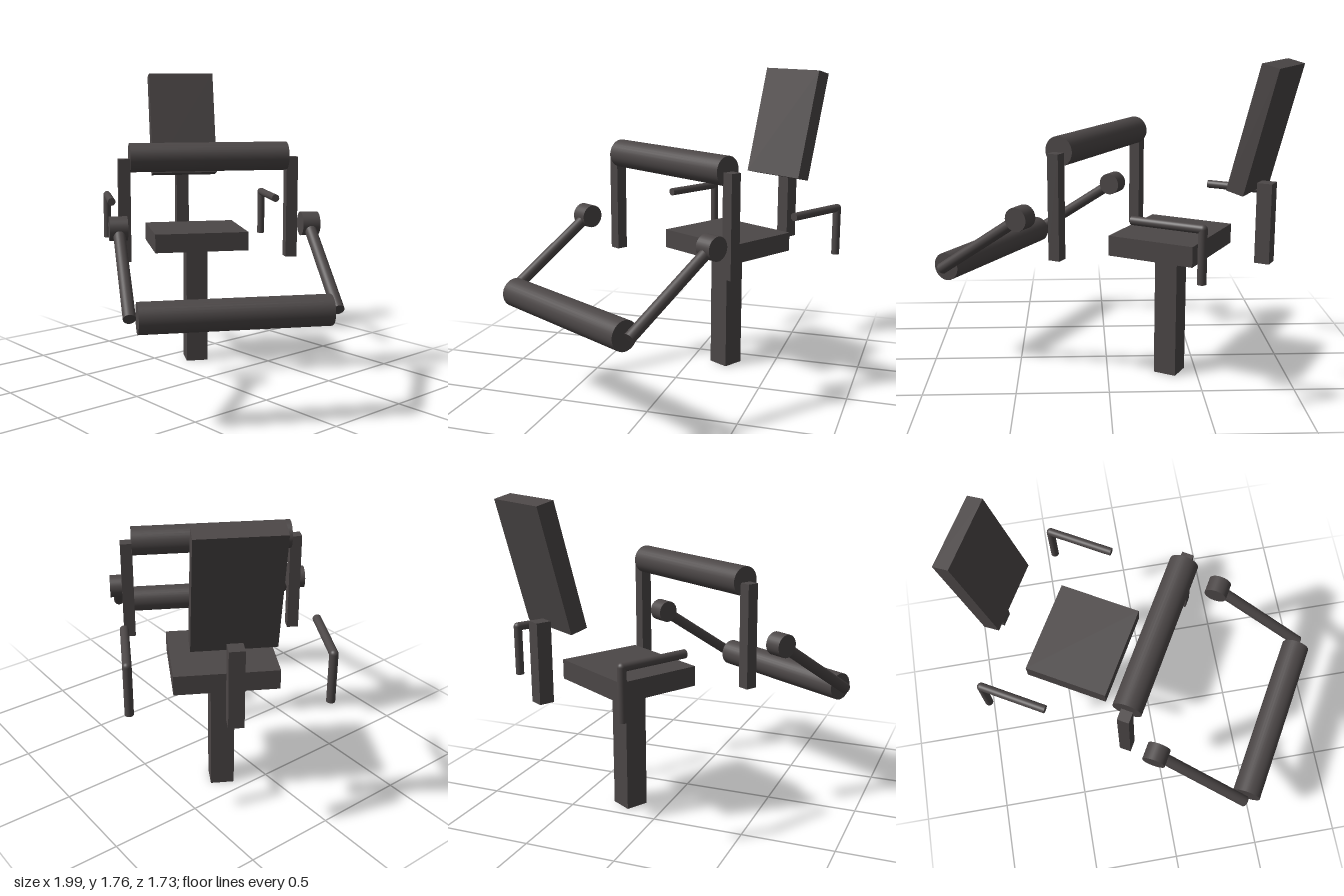
import * as THREE from 'three';

export function createModel() {
  const model = new THREE.Group();
  model.name = 'legExtensionMachine';
  // Machine frame: +x points forward along the bench, z runs across it
  const machine = new THREE.Group();
  machine.name = 'machine';
  machine.rotation.y = -Math.PI / 6;
  machine.position.set(-0.006, 0, -0.01);
  model.add(machine);

  const charcoal = new THREE.MeshStandardMaterial({ color: 0x4c4747 });
  charcoal.name = 'charcoal';

  const add = (name, geometry, x, y, z) => {
    const mesh = new THREE.Mesh(geometry, charcoal);
    mesh.name = name;
    mesh.position.set(x, y, z);
    machine.add(mesh);
    return mesh;
  };
  const box = (name, w, h, d, x, y, z) => add(name, new THREE.BoxGeometry(w, h, d), x, y, z);
  // Round bar between two points
  const bar = (name, r, a, b) => {
    const from = new THREE.Vector3(...a), to = new THREE.Vector3(...b);
    const dir = to.clone().sub(from);
    const mid = from.add(to).multiplyScalar(0.5);
    const mesh = add(name, new THREE.CylinderGeometry(r, r, dir.length(), 32), mid.x, mid.y, mid.z);
    mesh.quaternion.setFromUnitVectors(new THREE.Vector3(0, 1, 0), dir.normalize());
  };

  // Seat and pedestal
  box('pedestal', 0.13, 0.715, 0.13, -0.398, 0.3575, 0);
  box('seat', 0.487, 0.11, 0.556, -0.398, 0.77, 0);

  // Reclined backrest and its support
  box('backrestSupport', 0.08, 0.425, 0.08, -0.931, 0.9275, 0);
  box('backrest', 0.093, 0.657, 0.42, -0.913, 1.43, 0).rotation.z = 0.25;

  // Rollers
  bar('thighRoller', 0.08, [0.05, 1.29, -0.443], [0.05, 1.29, 0.443]);
  bar('shinRoller', 0.08, [0.781, 0.575, -0.486], [0.781, 0.575, 0.486]);

  // Mirrored side parts
  for (const s of [-1, 1]) {
    // Handle: upright, elbow and grip
    const z = s * 0.508;
    bar('handleUpright', 0.023, [-0.788, 0.715, z], [-0.788, 0.99, z]);
    add('handleElbow', new THREE.SphereGeometry(0.023, 24, 16), -0.788, 0.99, z);
    bar('handleGrip', 0.023, [-0.788, 0.99, z], [-0.408, 0.99, z]);

    // Thigh roller stand
    box('rollerStand', 0.065, 0.57, 0.065, 0.05, 1.0, s * 0.473);

    // Swinging arm with pivot hub
    bar('pivotHub', 0.065, [0.243, 0.93, s * 0.477], [0.243, 0.93, s * 0.573]);
    bar('swingArm', 0.032, [0.243, 0.93, s * 0.523], [0.783, 0.573, s * 0.523]);
  }
  return model;
}
